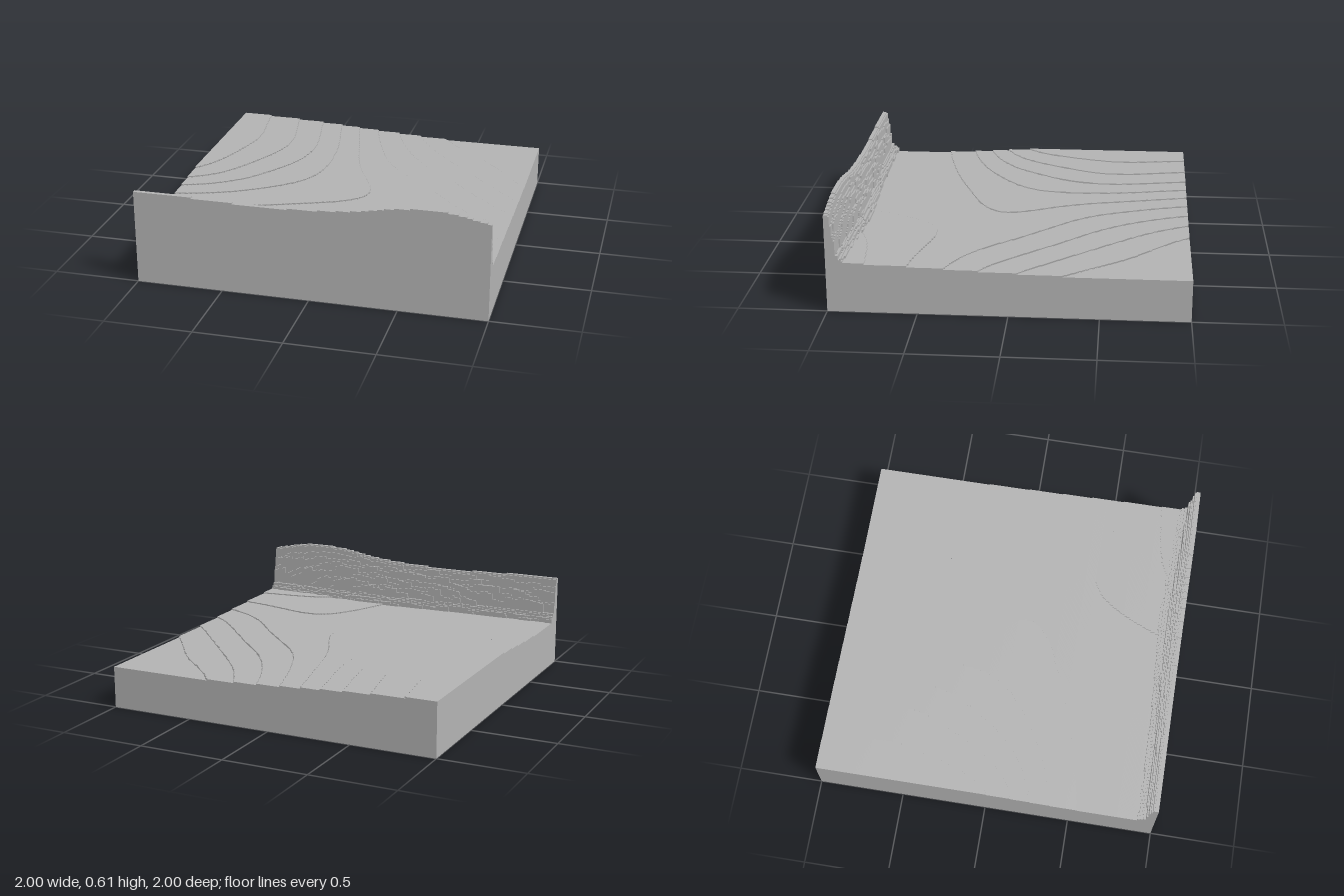
import * as THREE from 'three';

const N = 256;            // cells per side
const S = 2 / N;          // cell size, also the height of one terrace
const WALL_ROW = N - 20;  // rows from here to the front belong to the ridge wall

// Terrain heights in terraces: rows run back to front, columns run -x to +x
const GROUND = [
  [40.9, 38.3, 34.45, 31.5, 31.05],
  [40.9, 38.7, 35.5, 33.3, 31.4],
  [40.1, 37.6, 36.25, 35.1, 33.2],
  [36.2, 35.8, 35.6, 36.1, 35.75],
  [35.2, 35.2, 35.7, 37.2, 37.9],
];
// Wall crest height and inner thickness (in cells) along x
const CREST = [0.55, 0.546, 0.537, 0.533, 0.54, 0.56, 0.6, 0.607, 0.562];
const THICK = [6.6, 7.4, 8, 9.8, 10, 10.2, 9.6, 8, 6.4];
const TOE = [12, 12.5, 13.5, 13, 15, 16, 14.5, 13, 12];

// Smooth curve through evenly spaced values, t from 0 to 1
function spline(v, t) {
  const n = v.length - 1;
  const i = Math.min(n - 1, Math.floor(t * n));
  const f = t * n - i;
  const b = v[i], c = v[i + 1];
  const a = i > 0 ? v[i - 1] : 2 * b - c;
  const d = i + 2 <= n ? v[i + 2] : 2 * c - b;
  return b + 0.5 * f * (c - a + f * (2 * a - 5 * b + 4 * c - d + f * (3 * (b - c) + d - a)));
}

// Repeatable noise, 0 to 1
function hash(a, b) {
  const s = Math.sin(a * 127.1 + b * 311.7) * 43758.5453;
  return s - Math.floor(s);
}

// Height in terraces at cell i (x) and j (z)
function level(i, j) {
  const u = (i + 0.5) / N, w = (j + 0.5) / N;
  const v = spline(GROUND.map((row) => spline(row, u)), w);
  const ground = Math.floor(THREE.MathUtils.clamp(v, 31.05, 40.95));
  const k = N - 1 - j; // cells in from the front
  if (k > 18) return ground;

  const crest = spline(CREST, u) / S;
  const rough = hash(Math.floor((i + k * 5) / 11), k) - 0.5;
  const thick = spline(THICK, u) + rough * 0.6;
  const toe = spline(TOE, u) + rough * 1.5;
  let h = ground;
  if (k < 4) h = crest - (k === 3 ? 1 : 0);
  else if (k < thick) {
    const f = (k - 3) / (thick - 3);
    h = crest - 2 - (crest - 48) * Math.pow(f, 1.4) + rough * 4;
  } else if (k < toe) {
    const f = (k - thick) / (toe - thick);
    h = 42.5 - 5 * f + rough * 1.5;
  }
  return Math.max(ground, Math.round(h));
}

// Collects quads (corners counter-clockwise from outside) as triangles
function quad(out, a, b, c, d) {
  out.push(...a, ...b, ...c, ...a, ...c, ...d);
}

function toMesh(name, positions, material) {
  const geometry = new THREE.BufferGeometry();
  geometry.setAttribute('position', new THREE.Float32BufferAttribute(positions, 3));
  geometry.computeVertexNormals();
  const mesh = new THREE.Mesh(geometry, material);
  mesh.name = name;
  return mesh;
}

export function createModel() {
  const group = new THREE.Group();
  group.name = 'terracedTerrain';
  const stone = new THREE.MeshStandardMaterial({ color: 0xb2b2b2 });
  stone.name = 'greyStone';

  const heights = [];
  for (let j = 0; j < N; j++) {
    const row = [];
    for (let i = 0; i < N; i++) row.push(level(i, j) * S);
    heights.push(row);
  }
  const at = (i, j) => (i < 0 || j < 0 || i >= N || j >= N ? 0 : heights[j][i]);

  const terrain = [], wall = [];
  for (let j = 0; j < N; j++) {
    const out = j >= WALL_ROW ? wall : terrain;
    const z0 = -1 + j * S, z1 = z0 + S;

    // Flat tops, one strip per run of equal height
    for (let i = 0; i < N;) {
      const y = at(i, j);
      let e = i + 1;
      while (e < N && at(e, j) === y) e++;
      const x0 = -1 + i * S, x1 = -1 + e * S;
      quad(out, [x0, y, z1], [x1, y, z1], [x1, y, z0], [x0, y, z0]);
      i = e;
    }

    // Risers wherever a neighbour is lower, including the outer sides
    for (let i = 0; i < N; i++) {
      const y = at(i, j), x0 = -1 + i * S, x1 = x0 + S;
      const r = at(i + 1, j), l = at(i - 1, j), f = at(i, j + 1), b = at(i, j - 1);
      if (r < y) quad(out, [x1, r, z1], [x1, r, z0], [x1, y, z0], [x1, y, z1]);
      if (l < y) quad(out, [x0, l, z0], [x0, l, z1], [x0, y, z1], [x0, y, z0]);
      if (f < y) quad(out, [x0, f, z1], [x1, f, z1], [x1, y, z1], [x0, y, z1]);
      if (b < y) quad(out, [x1, b, z0], [x0, b, z0], [x0, y, z0], [x1, y, z0]);
    }
  }

  // Flat underside
  const base = [];
  quad(base, [-1, 0, -1], [1, 0, -1], [1, 0, 1], [-1, 0, 1]);

  group.add(
    toMesh('terracedGround', terrain, stone),
    toMesh('ridgeWall', wall, stone),
    toMesh('underside', base, stone),
  );
  return group;
}
